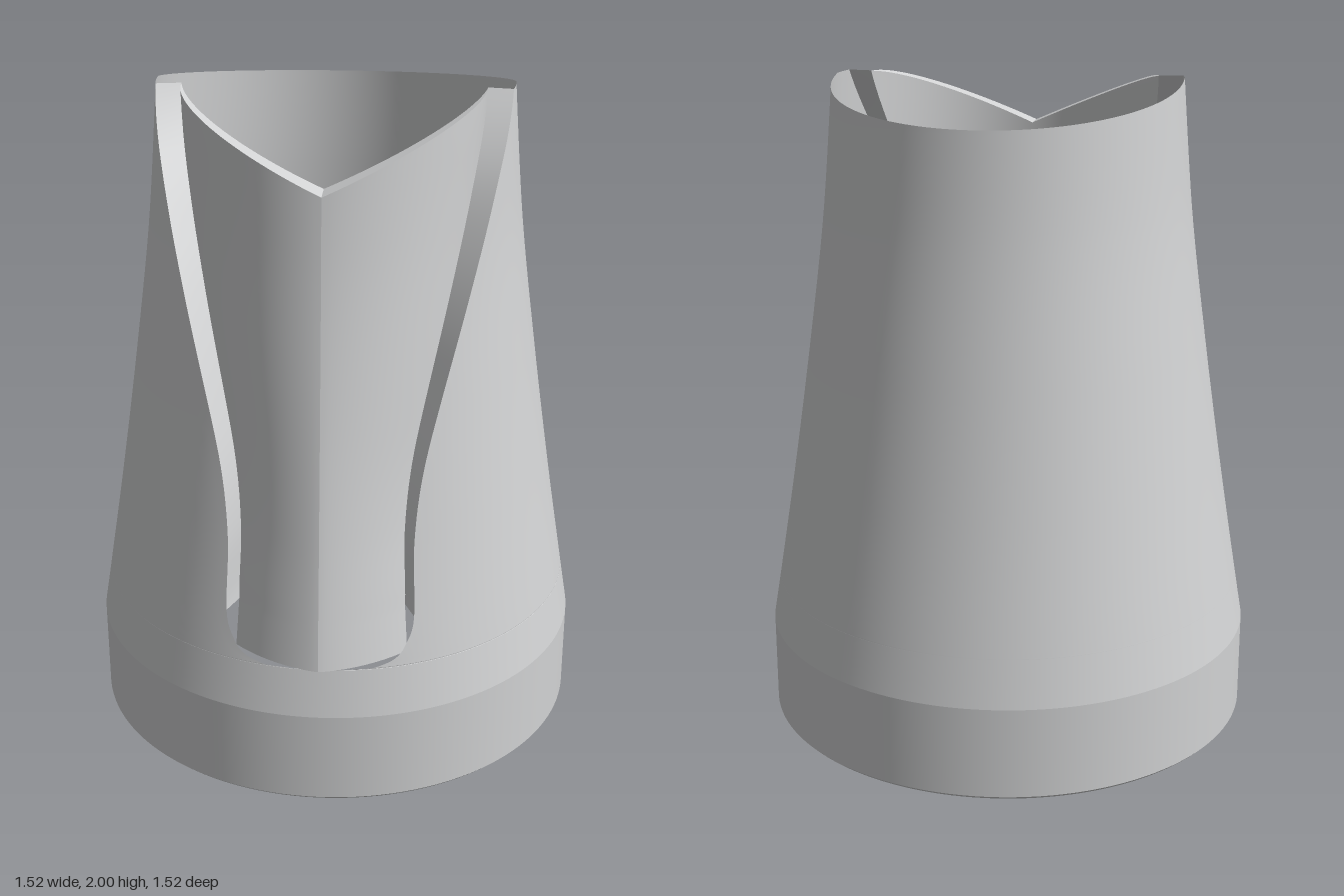
import * as THREE from 'three';

const DEPTH = 0.075, SILL = 0.436, CORNER = 0.58, TAU = Math.PI * 2;
const points = (list) => list.map(([a, b]) => new THREE.Vector2(a, b));

// Piecewise linear lookup of a sampled curve (x = height, y = value)
function lookup(samples, h) {
  let i = 1;
  while (i < samples.length - 1 && samples[i].x < h) i++;
  const a = samples[i - 1], b = samples[i];
  const k = THREE.MathUtils.clamp((h - a.x) / (b.x - a.x || 1), 0, 1);
  return a.y + (b.y - a.y) * k;
}

// Outer radius of the tapered body by height
const bodyCurve = new THREE.SplineCurve(points([
  [0.29, 0.76], [0.436, 0.735], [0.8, 0.675], [1.2, 0.615], [1.6, 0.562], [2, 0.527],
])).getPoints(60);
const radius = (y) => lookup(bodyCurve, y);

// Half angle of the front window by height
const windowCurve = [
  ...points([[SILL, 0], [0.437, 0.1], [0.438, 0.2]]),
  ...new THREE.SplineCurve(points([
    [0.439, 0.22], [0.46, 0.305], [0.5, 0.355], [CORNER, 0.395], [0.8, 0.41], [1.0, 0.466],
    [1.2, 0.576], [1.4, 0.72], [1.6, 0.893], [1.8, 1.1], [2, 1.38],
  ])).getPoints(60),
];
const halfAngle = (y) => lookup(windowCurve, y);
const rows = windowCurve.map((p) => p.x);
const edgeRows = [CORNER, ...rows.filter((y) => y > CORNER)];

const polar = (r, angle, y) => new THREE.Vector3(r * Math.sin(angle), y, r * Math.cos(angle));

// Surface through fn(u, v), with columns in u and rows in v
function grid(fn, nu, nv) {
  const pos = [], index = [];
  for (let j = 0; j <= nv; j++)
    for (let i = 0; i <= nu; i++) pos.push(...fn(i / nu, j / nv, j).toArray());
  for (let j = 0; j < nv; j++)
    for (let i = 0; i < nu; i++) {
      const a = j * (nu + 1) + i, b = a + 1, c = a + nu + 1, d = c + 1;
      index.push(a, b, d, a, d, c);
    }
  const g = new THREE.BufferGeometry();
  g.setAttribute('position', new THREE.Float32BufferAttribute(pos, 3));
  g.setIndex(index);
  g.computeVertexNormals();
  return g;
}

// Bend the upper rows so that a surface ends at height top
const squash = (y, from, top) => (y < from ? y : from + ((y - from) * (top - from)) / (2 - from));

// Thin body wall: everything outside the window, with a rim sloping down to the back
function wallPoint(u, y0) {
  const a = halfAngle(y0), angle = a + u * (TAU - 2 * a);
  const z = 0.53 * Math.cos(angle);
  const y = squash(y0, 1.6, z < 0 ? 2 + z * 0.17 : 2);
  return polar(radius(y), angle, y);
}

// Panel: s runs -1..1 across the window, depth 0 = ridged outside, 1 = round inside
function panelPoint(s, y0, depth) {
  let y = y0, p;
  for (let k = 0; k < 8; k++) {
    const inner = radius(y) - DEPTH;
    const outer = inner + (DEPTH + 0.01) * (1 - Math.abs(s) ** 1.2);
    p = polar(outer + (inner - outer) * depth, s * halfAngle(Math.max(y, CORNER)), y);
    y = squash(y0, 1.3, Math.min(2, 1.8 + Math.abs(p.x) * 0.447));
  }
  p.y = y;
  return p;
}

export function createModel() {
  const group = new THREE.Group();
  const grey = new THREE.MeshStandardMaterial({ color: 0xd2d3d4, side: THREE.DoubleSide });
  grey.name = 'grey';
  const add = (name, geometry) => {
    const mesh = new THREE.Mesh(geometry, grey);
    mesh.name = name;
    group.add(mesh);
  };
  const lathe = (name, list) => add(name, new THREE.LatheGeometry(points(list), 128));
  const last = rows.length - 1;

  // Thick base collar and the lower taper above it
  lathe('baseCollar', [[0.76, 0.01], [0.76, 0.29]]);
  lathe('baseBevel', [[0.75, 0], [0.76, 0.01]]);
  lathe('underside', [[0.667, 0], [0.75, 0]]);
  lathe('collarLining', [[0.667, 0.25], [0.667, 0]]);
  lathe('collarLedge', [[0.76, 0.27], [0.667, 0.25]]);
  lathe('lowerTaper', [[0.76, 0.29], [radius(0.36), 0.36], [radius(SILL), SILL]]);

  // Tapered wall around the window
  add('bodyWall', grid((u, v, j) => wallPoint(u, rows[j]), 128, last));

  for (const side of [-1, 1]) {
    // Edge of the window, running from above the rounded corner up to the rim
    add('windowEdge', grid((u, v, j) => {
      const y = edgeRows[j], t = side > 0 ? 1 - u : u;
      return polar(radius(y) - DEPTH * t, side * halfAngle(y), y);
    }, 1, edgeRows.length - 1));

    // Half of the ridged panel, with its sloping top
    const across = (u) => (side > 0 ? u : u - 1);
    add('panelFront', grid((u, v, j) => panelPoint(across(u), rows[j], 0), 32, last));
    add('panelTop', grid((u, v) => panelPoint(across(u), 2, v), 32, 1));
  }
  add('panelBack', grid((u, v, j) => panelPoint(1 - 2 * u, rows[j], 1), 64, last));

  return group;
}
